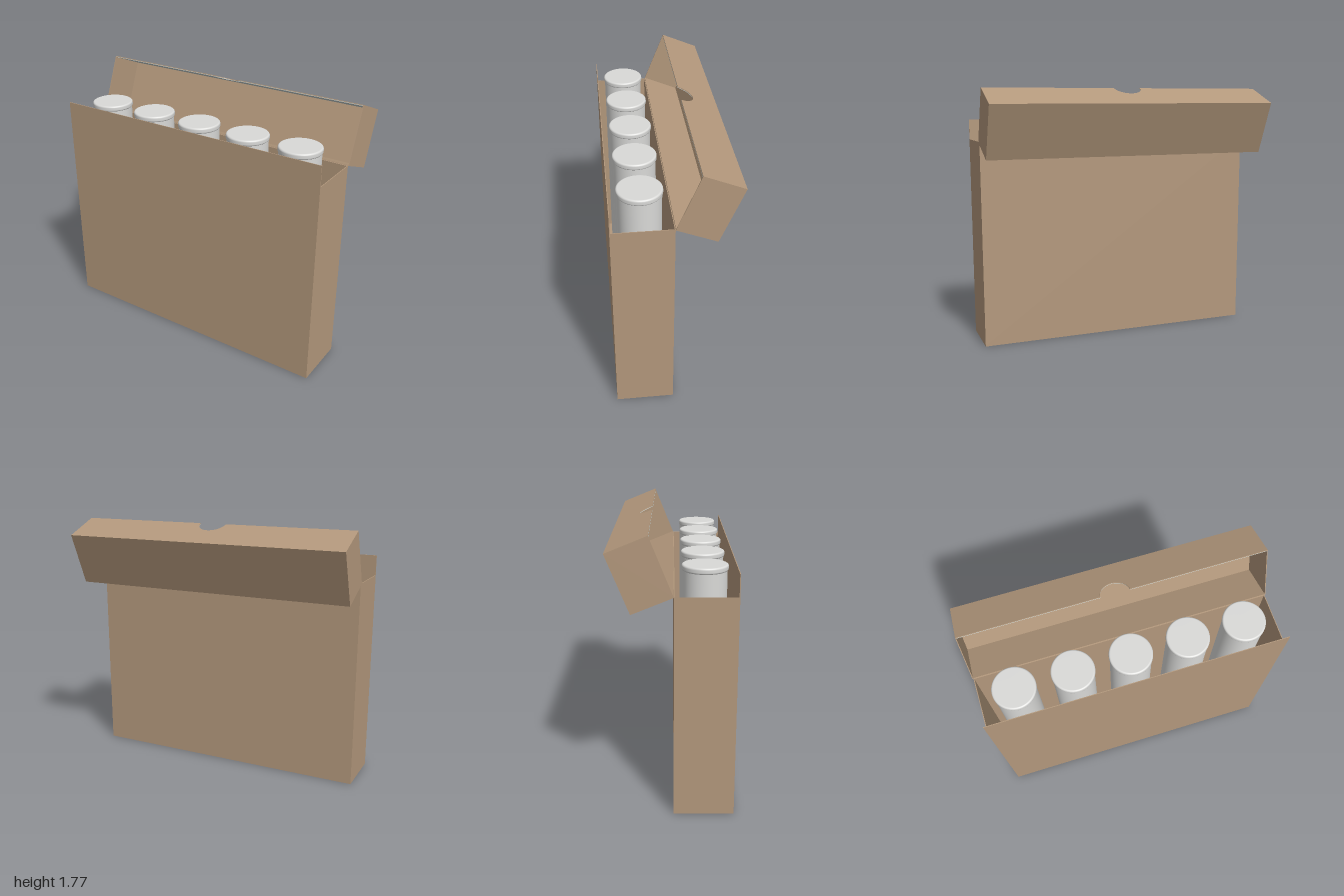
import * as THREE from 'three';

const cardboard = new THREE.MeshStandardMaterial({ name: 'cardboard', color: 0xb3987c });
const metal = new THREE.MeshStandardMaterial({ name: 'pale grey metal', color: 0xd9d9d7 });
const lining = new THREE.MeshStandardMaterial({ name: 'grey lining', color: 0xc5cfcd });

const T = 0.005; // board thickness

// Box panel given by its minimum and maximum corners
function panel(name, min, max) {
  const size = max.map((v, i) => v - min[i]);
  const mesh = new THREE.Mesh(new THREE.BoxGeometry(...size), cardboard);
  mesh.position.set(...max.map((v, i) => (v + min[i]) / 2));
  mesh.name = name;
  return mesh;
}

// Carton: open box whose front wall stands higher than the rest
function createCarton() {
  const group = new THREE.Group();
  group.name = 'carton';
  const w = 0.993, back = 0.008, front = 0.385, h = 1.413;
  group.add(
    panel('cartonFloor', [-w, 0, back], [w, T, front]),
    panel('cartonFront', [-w, T, front - T], [w, 1.55, front]),
    panel('cartonBack', [-w, T, back], [w, h, back + T])
  );
  for (const [name, s] of [['cartonLeftSide', 1], ['cartonRightSide', -1]]) {
    const x = [s * w, s * (w - T)].sort((a, b) => a - b);
    group.add(panel(name, [x[0], T, back + T], [x[1], h, front - T]));
  }
  return group;
}

// Lid front wall outline with a half-round thumb notch in its free edge
function notchedWall(w, h, radius, depth) {
  const shape = new THREE.Shape();
  shape.moveTo(-w, 0);
  shape.lineTo(-radius, 0);
  shape.absarc(0, 0, radius, Math.PI, 0, true);
  shape.lineTo(w, 0);
  shape.lineTo(w, h);
  shape.lineTo(-w, h);
  shape.closePath();
  return new THREE.ExtrudeGeometry(shape, { depth, bevelEnabled: false, curveSegments: 24 });
}

// Hinged lid, built closed with the hinge at its origin, then swung open
function createLid() {
  const group = new THREE.Group();
  group.name = 'lid';
  const w = 1, h = 0.269, d = 0.383;
  group.add(
    panel('lidTop', [-w, h - T, 0], [w, h, d - T]),
    panel('lidBack', [-w, 0, 0], [w, h - T, T])
  );
  for (const [name, s] of [['lidLeftSide', 1], ['lidRightSide', -1]]) {
    const x = [s * w, s * (w - T)].sort((a, b) => a - b);
    group.add(panel(name, [x[0], 0, T], [x[1], h - T, d - T]));
  }
  const front = new THREE.Mesh(notchedWall(w, h, 0.095, T), cardboard);
  front.name = 'lidFront';
  front.position.z = d - T;
  const inside = new THREE.Mesh(notchedWall(w - T, h - T, 0.095, 0.003), lining);
  inside.name = 'lidFrontLining';
  inside.position.z = d - T - 0.003;
  group.add(front, inside);
  group.position.set(0, 1.413, 0.008);
  group.rotation.x = -1.957;
  return group;
}

// Tube with a rounded cap
function createTube(x) {
  const group = new THREE.Group();
  group.name = 'tube';
  const body = new THREE.Mesh(new THREE.CylinderGeometry(0.134, 0.134, 1.515, 48), metal);
  body.name = 'tubeBody';
  body.position.y = T + 1.515 / 2;

  const r = 0.14, low = 1.517, high = 1.556, e = 0.012;
  const points = [new THREE.Vector2(0, low), new THREE.Vector2(r - e, low)];
  for (const [cy, start] of [[low + e, -Math.PI / 2], [high - e, 0]]) {
    for (let i = 0; i <= 5; i++) {
      const a = start + (i / 5) * Math.PI / 2;
      points.push(new THREE.Vector2(r - e + e * Math.cos(a), cy + e * Math.sin(a)));
    }
  }
  points.push(new THREE.Vector2(0, high));
  points.splice(1, 1);
  const cap = new THREE.Mesh(new THREE.LatheGeometry(points, 48), metal);
  cap.name = 'tubeCap';
  group.add(body, cap);
  group.position.set(x, 0, 0.194);
  return group;
}

export function createModel() {
  const model = new THREE.Group();
  model.name = 'openCartonOfTubes';
  model.add(createCarton(), createLid());
  for (let i = -2; i <= 2; i++) model.add(createTube(i * 0.3775));
  return model;
}
